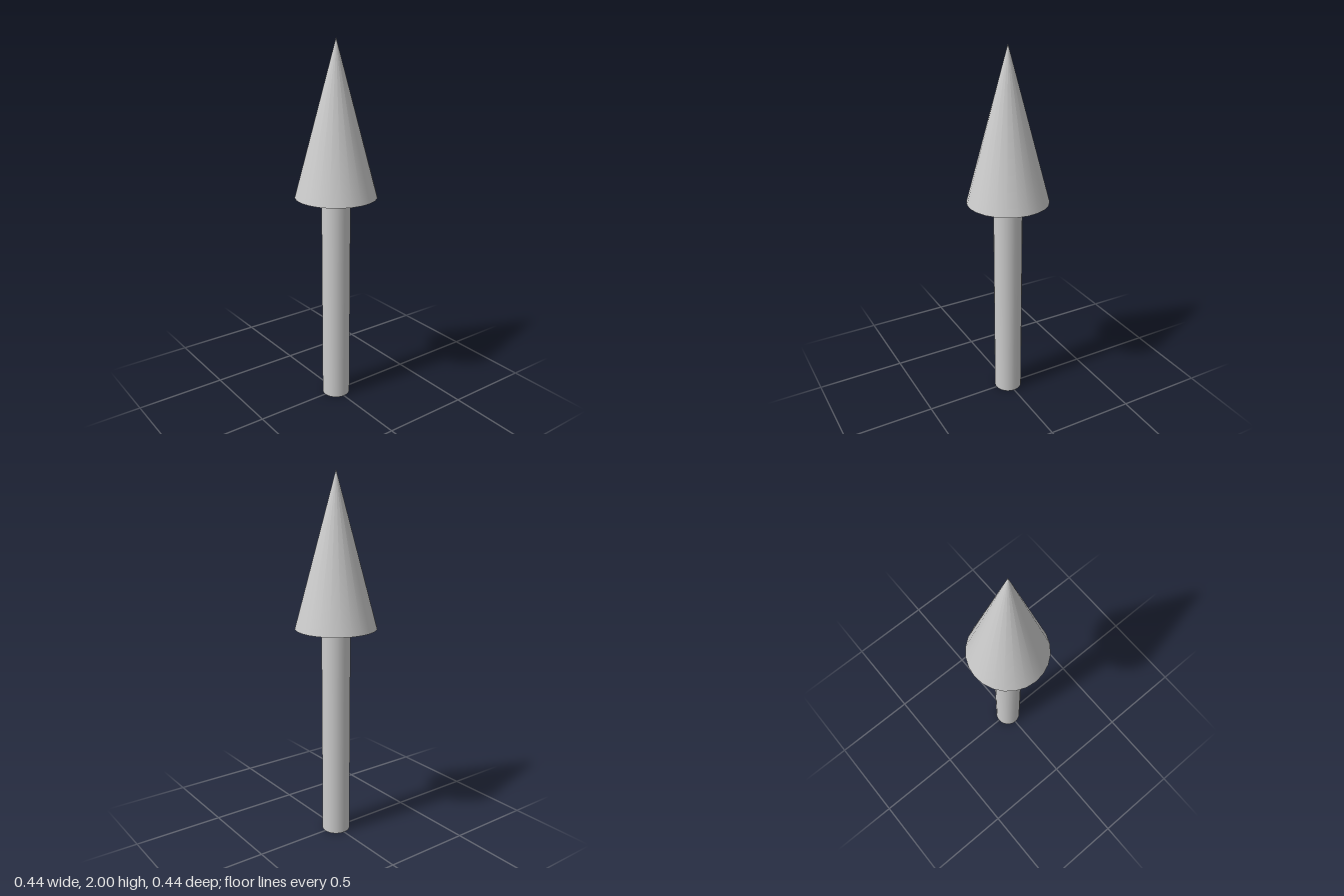
import * as THREE from 'three';

const SIDES = 24;
const BASE_Y = 1.18; // where the head meets the shaft
const TOP_Y = 2;

export function createModel() {
  const group = new THREE.Group();
  const material = new THREE.MeshStandardMaterial({ color: 0xcccccc });

  const add = (name, geometry, y) => {
    const mesh = new THREE.Mesh(geometry, material);
    mesh.name = name;
    mesh.position.y = y;
    group.add(mesh);
  };

  // Round shaft standing on the ground
  add('shaft', new THREE.CylinderGeometry(0.078, 0.078, BASE_Y, SIDES), BASE_Y / 2);

  // Pointed cone head with a closed base
  add('arrowHead', new THREE.ConeGeometry(0.221, TOP_Y - BASE_Y, SIDES), (BASE_Y + TOP_Y) / 2);

  return group;
}
